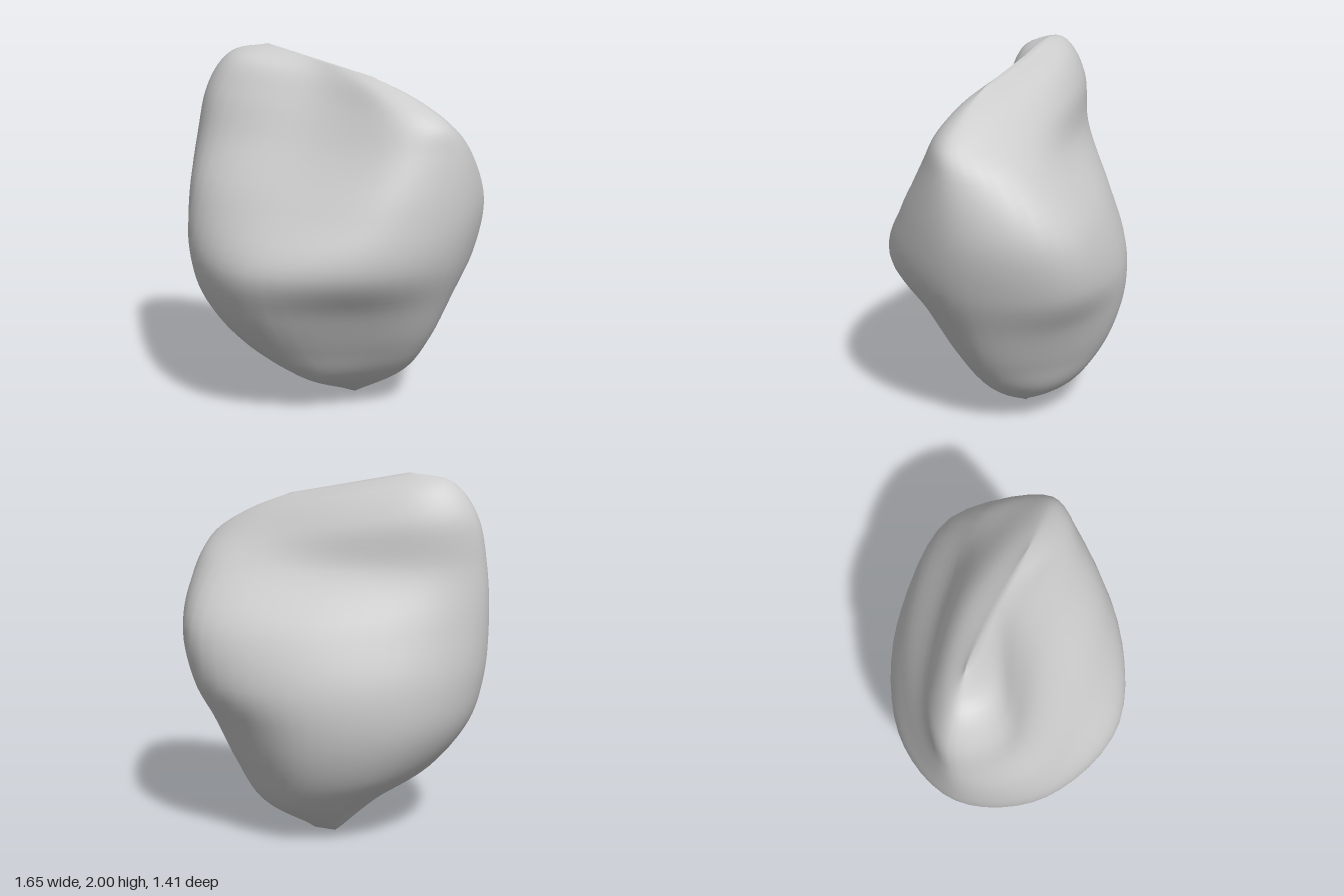
import * as THREE from 'three';
import { mergeVertices } from 'three/addons/utils/BufferGeometryUtils.js';

const AROUND = 48;
const STEPS = 6;

// Smooth closed outline at one height: right end, front, left end, back.
// Depths run left, middle, right; each end sits midway between front and back.
// Sections lean down towards +x as they near the sloping crest.
function outline(y, x0, x1, front, back) {
  const [frontL, frontM, frontR] = front;
  const [backL, backM, backR] = back;
  const depths = [
    (frontR + backR) / 2, frontR, frontM, frontL,
    (frontL + backL) / 2, backL, backM, backR,
  ];
  const tilt = -0.45 * Math.max(0, y - 1.5);
  const points = depths.map((z, k) => {
    const x = (x0 + x1) / 2 + ((x1 - x0) / 2) * Math.cos((k * Math.PI) / 4);
    return new THREE.Vector3(x, y + tilt * x, z);
  });
  const curve = new THREE.CatmullRomCurve3(points, true, 'catmullrom', 0.5);
  return Array.from({ length: AROUND }, (_, j) => curve.getPoint(j / AROUND));
}

// Outline pressed flat into a line, closing the base or the crest.
function closingLine(y, x0, x1, z) {
  return outline(y, x0, x1, [z, z, z], [z, z, z]);
}

// Smooth columns lofted through the outlines.
function boulderGeometry() {
  const rings = [
    closingLine(0, -0.05, 0.08, -0.16),
    outline(0.2, -0.27, 0.4, [0.16, 0.25, 0.02], [-0.34, -0.45, -0.36]),
    outline(0.4, -0.55, 0.55, [0.34, 0.46, 0.14], [-0.4, -0.58, -0.43]),
    outline(0.65, -0.74, 0.67, [0.46, 0.63, 0.27], [-0.42, -0.66, -0.52]),
    outline(0.9, -0.81, 0.77, [0.5, 0.7, 0.42], [-0.4, -0.68, -0.63]),
    outline(1.2, -0.83, 0.82, [0.44, 0.51, 0.33], [-0.3, -0.58, -0.62]),
    outline(1.5, -0.82, 0.79, [0.32, 0.25, 0.2], [-0.19, -0.36, -0.41]),
    outline(1.71, -0.77, 0.73, [0.25, 0.11, 0.13], [-0.18, -0.29, -0.23]),
    outline(1.85, -0.64, 0.54, [0.16, 0.03, 0.06], [-0.12, -0.18, -0.12]),
    closingLine(1.92, -0.42, 0.28, -0.02),
  ];
  const columns = Array.from({ length: AROUND }, (_, j) =>
    new THREE.CatmullRomCurve3(rings.map((ring) => ring[j]), false, 'centripetal'));
  const rows = (rings.length - 1) * STEPS;
  const positions = [];
  const index = [];
  for (let i = 0; i <= rows; i++) {
    for (let j = 0; j < AROUND; j++) {
      positions.push(...columns[j].getPoint(i / rows).toArray());
      if (i === rows) continue;
      const a = i * AROUND + j;
      const b = i * AROUND + ((j + 1) % AROUND);
      index.push(a, a + AROUND, b, b, a + AROUND, b + AROUND);
    }
  }
  const geometry = new THREE.BufferGeometry();
  geometry.setAttribute('position', new THREE.Float32BufferAttribute(positions, 3));
  geometry.setIndex(index);
  // Weld the closing lines so shading stays smooth across them.
  const welded = mergeVertices(geometry, 1e-4);
  welded.computeVertexNormals();
  return welded;
}

export function createModel() {
  const group = new THREE.Group();
  group.name = 'rock';
  const boulder = new THREE.Mesh(
    boulderGeometry(),
    new THREE.MeshStandardMaterial({ color: 0xcccccc }),
  );
  boulder.name = 'boulder';
  group.add(boulder);
  return group;
}
